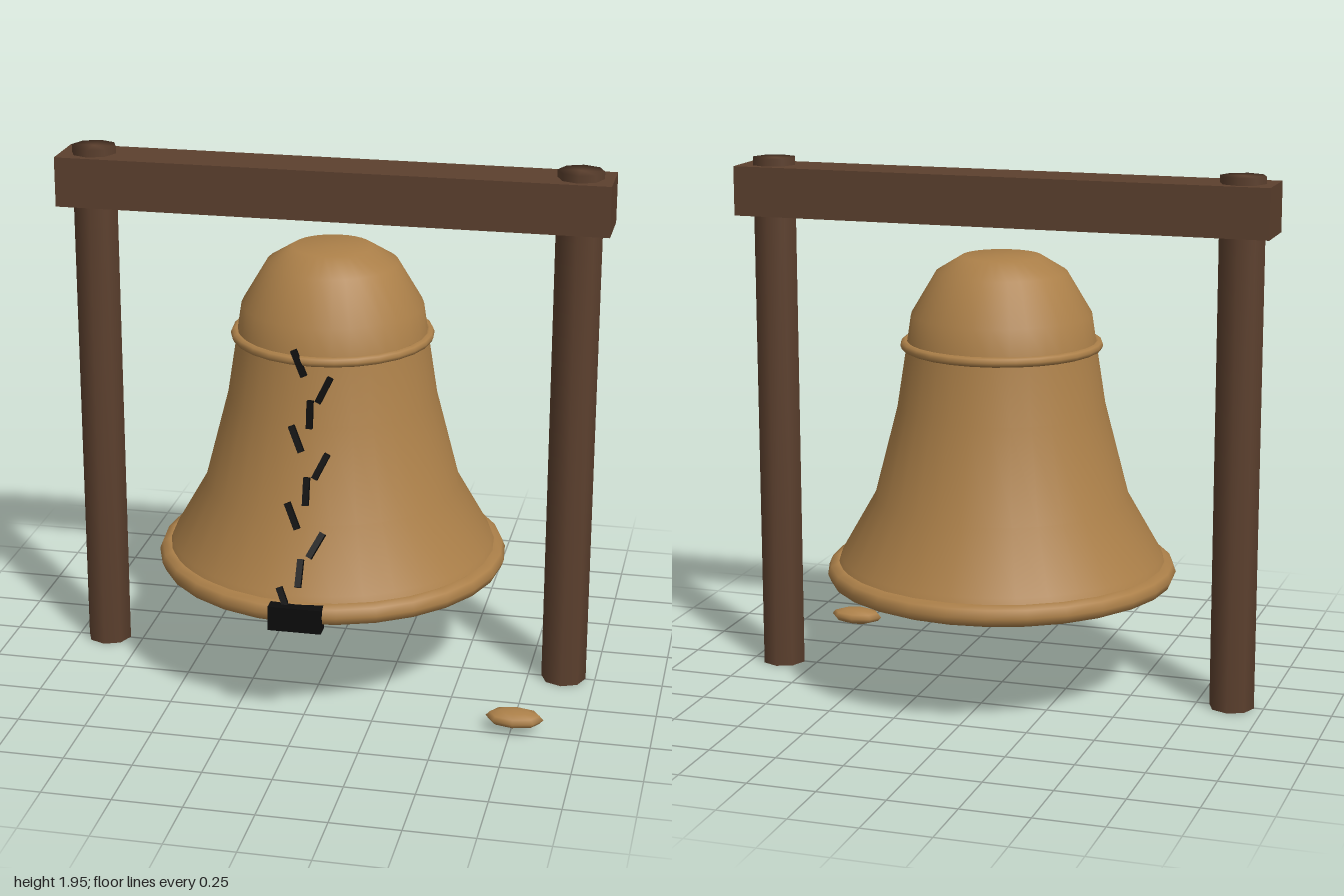
import * as THREE from 'three';
import { mergeVertices } from 'three/addons/utils/BufferGeometryUtils.js';

const material = (name, color, side = THREE.FrontSide) => {
  const m = new THREE.MeshStandardMaterial({ color, side });
  m.name = name;
  return m;
};

// Share vertices across caps so the shading rolls over the edges
function softened(geometry) {
  geometry.deleteAttribute('normal');
  geometry.deleteAttribute('uv');
  const merged = mergeVertices(geometry);
  merged.computeVertexNormals();
  return merged;
}

export function createModel() {
  const bronze = material('bronze', 0xac8049, THREE.DoubleSide);
  const wood = material('dark wood', 0x5c402e);
  const black = material('crack black', 0x0c0c0c);
  const iron = material('iron grey', 0x808080);

  const model = new THREE.Group();
  model.name = 'crackedBell';
  const add = (name, geometry, mat, x, y, z) => {
    const mesh = new THREE.Mesh(geometry, mat);
    mesh.name = name;
    mesh.position.set(x, y, z);
    model.add(mesh);
    return mesh;
  };
  const zc = -0.004; // frame and bell axis

  // Frame: two posts poking through a cross beam
  for (const [side, name] of [[1, 'leftPost'], [-1, 'rightPost']]) {
    add(name, softened(new THREE.CylinderGeometry(0.083, 0.083, 1.945, 8)), wood, side * 0.882, 0.9725, zc);
  }
  add('crossBeam', new THREE.BoxGeometry(2, 0.182, 0.208), wood, 0, 1.828, zc);

  // Bell body, profile from mouth to crown as [radius, height]
  const profile = [
    [0.62, 0.44], [0.595, 0.51], [0.47, 0.73], [0.382, 1.07],
    [0.348, 1.29], [0.33, 1.41], [0.238, 1.565], [0.145, 1.622], [0, 1.622],
  ];
  add('bellBody', new THREE.LatheGeometry(profile.map(([r, y]) => new THREE.Vector2(r, y)), 32), bronze, 0, 0, zc);

  // Rolled rings around lip and shoulder
  for (const [name, radius, tube, y] of [['lipRing', 0.606, 0.04, 0.45], ['shoulderRing', 0.352, 0.018, 1.298]]) {
    add(name, new THREE.TorusGeometry(radius, tube, 8, 28).rotateX(Math.PI / 2), bronze, 0, y, zc);
  }

  // Clapper
  add('clapperRod', new THREE.CylinderGeometry(0.018, 0.018, 0.95, 8), iron, 0, 1.1, zc);
  add('clapperBall', new THREE.SphereGeometry(0.068, 16, 12), iron, 0, 0.6, zc);

  // Crack: short zigzag strokes following the bell's slope
  const stroke = new THREE.BoxGeometry(0.022, 0.1, 0.02);
  const offsets = [-0.046, 0.048, 0];
  const tilts = [0.42, -0.44, 0];
  for (let i = 0; i < 10; i++) {
    const y = 1.292 - i * 0.0885;
    const k = profile.findIndex((p) => p[1] > y);
    const [r0, y0] = profile[k - 1];
    const [r1, y1] = profile[k];
    const slope = (r1 - r0) / (y1 - y0);
    const x = offsets[i % 3];
    const r = r0 + slope * (y - y0) + 0.01;
    const mesh = add('crackStroke' + (i + 1), stroke, black, x, y, zc + Math.sqrt(r * r - x * x) + 0.004);
    mesh.rotation.set(Math.atan(slope), 0, tilts[i % 3]);
  }

  // Missing piece of the lip, and the chip lying on the ground
  add('lipNotch', new THREE.BoxGeometry(0.19, 0.09, 0.06), black, 0, 0.441, 0.62);
  add('fallenChip', new THREE.SphereGeometry(1, 8, 6).scale(0.104, 0.031, 0.062), bronze, 0.762, 0.05, 0.463);

  return model;
}
